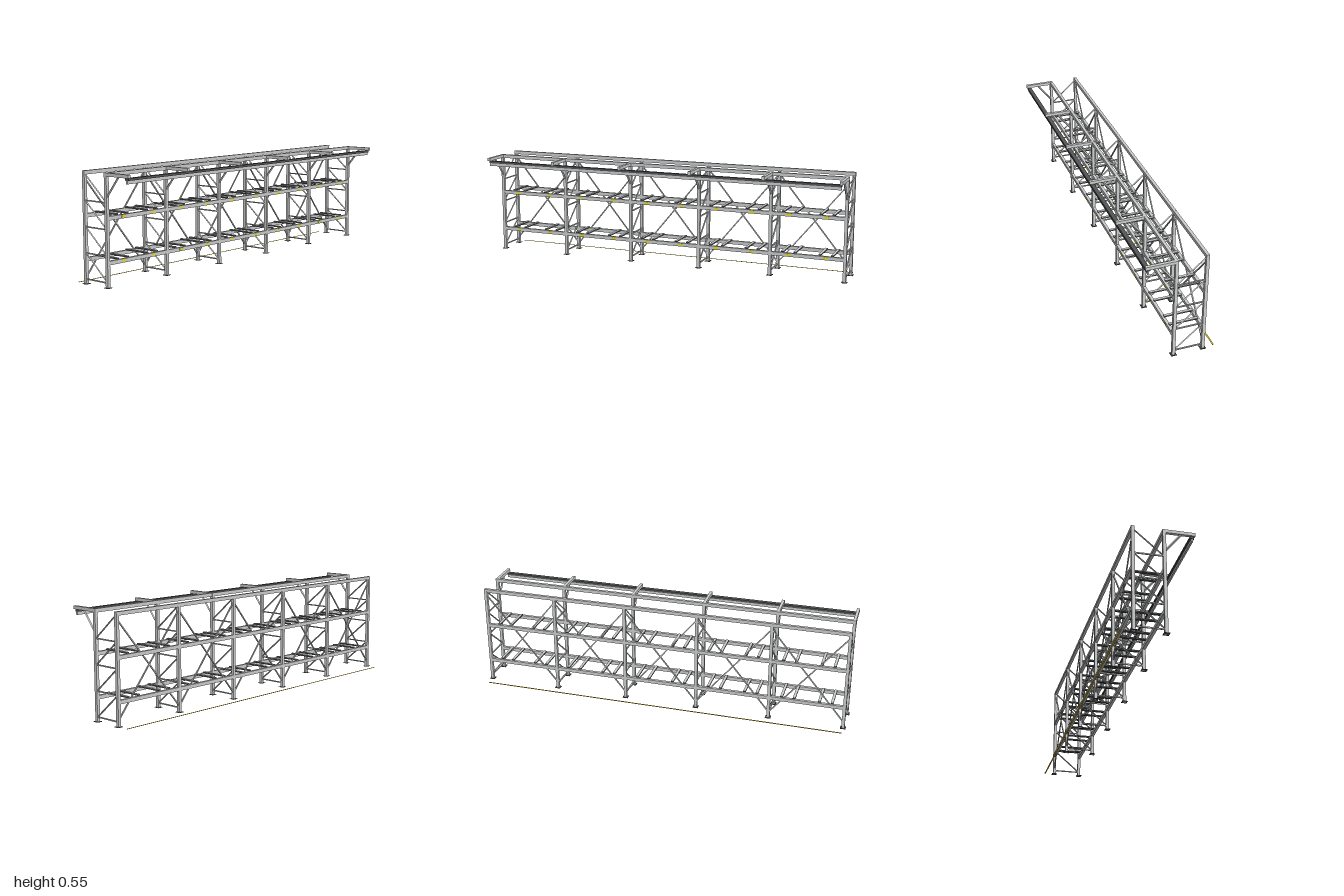
import * as THREE from 'three';

const mat = (name, color) => Object.assign(new THREE.MeshStandardMaterial({ color }), { name });

export function createModel() {
  const steel = mat('galvanised steel', 0xcdcecf);
  const dark = mat('dark steel', 0x545557);
  const plate = mat('base plate steel', 0x48494b);
  const yellow = mat('label yellow', 0xe6dc2c);
  const paint = mat('floor line yellow', 0xdcb81c);

  const model = new THREE.Group();
  model.name = 'storageRack';

  const box = (name, material, w, h, d, x, y, z, parent = model) => {
    const m = new THREE.Mesh(new THREE.BoxGeometry(w, h, d), material);
    m.name = name;
    m.position.set(x, y, z);
    parent.add(m);
  };

  // square bar between two points, rolled about its own axis
  const strut = (name, material, a, b, size, roll, parent = model) => {
    const p = new THREE.Vector3(...a), q = new THREE.Vector3(...b);
    const g = new THREE.BoxGeometry(size, size, p.distanceTo(q));
    g.rotateZ(roll);
    const m = new THREE.Mesh(g, material);
    m.name = name;
    m.position.copy(p).lerp(q, 0.5);
    m.lookAt(q);
    parent.add(m);
  };

  const bays = 5, half = 0.9855, pitch = (2 * half) / bays;
  const postX = i => -half + i * pitch;
  const zFront = 0.0305, zBack = -0.121, zMid = (zFront + zBack) / 2;
  const inFront = 0.023, inBack = -0.113, height = 0.546;

  // upright frames with a cantilever arm
  for (let i = 0; i <= bays; i++) {
    const x = postX(i);
    const frame = new THREE.Group();
    frame.name = 'uprightFrame';
    model.add(frame);
    for (const z of [zFront, zBack]) {
      box('post', steel, 0.016, height, 0.016, x, height / 2, z, frame);
      box('basePlate', plate, 0.029, 0.002, 0.029, x, 0.001, z, frame);
    }
    for (let k = 0; k < 4; k++) {
      const y = 0.024 + k * 0.1268;
      box('rung', steel, 0.006, 0.006, inFront - inBack, x, y, zMid, frame);
      strut('frameDiagonal', steel, [x, y + 0.005, inFront], [x, y + 0.122, inBack], 0.006, Math.PI / 4, frame);
    }
    box('cantileverArm', steel, 0.0155, 0.0165, 0.16, x, 0.5377, 0.103, frame);
    strut('kneeBrace', steel, [x, 0.434, 0.036], [x, 0.529, 0.112], 0.008, Math.PI / 4, frame);
  }

  // long beams: top ties and two shelf levels
  for (const z of [zFront, zBack]) {
    box('topBeam', steel, 2 * half, 0.0185, 0.0155, 0, 0.5365, z);
    for (const y of [0.119, 0.331]) box('shelfBeam', steel, 2 * half, 0.019, 0.0155, 0, y, z);
  }

  // hanging rail under the arms
  box('hangingRail', dark, 2 * half, 0.0115, 0.021, 0, 0.5235, 0.1675);
  box('railWeb', steel, 2 * half, 0.0155, 0.009, 0, 0.5095, 0.1675);

  for (let i = 0; i < bays; i++) {
    const x0 = postX(i), x1 = postX(i + 1);
    // cross bracing on the back
    strut('backBrace', steel, [x0, 0.032, zBack], [x1, 0.512, zBack], 0.006, 0);
    strut('backBrace', steel, [x0, 0.512, zBack - 0.0005], [x1, 0.032, zBack - 0.0005], 0.006, 0);

    // paired support bars and a label for each load place
    for (const y of [0.1285, 0.3405]) {
      for (const f of [0.25, 0.75]) {
        const xc = x0 + f * pitch;
        for (const s of [-1, 1]) {
          box('supportBar', dark, 0.014, 0.006, 0.148, xc + s * 0.033, y + 0.003, zMid);
          box('supportBarTop', steel, 0.014, 0.0012, 0.148, xc + s * 0.033, y + 0.0066, zMid);
        }
        box('placeLabel', yellow, 0.025, 0.0125, 0.0009, xc, y - 0.0095, 0.0387);
      }
    }
  }

  // painted floor line behind
  box('floorLine', paint, 2 * half, 0.001, 0.008, 0, 0.0005, -0.178);

  return model;
}
